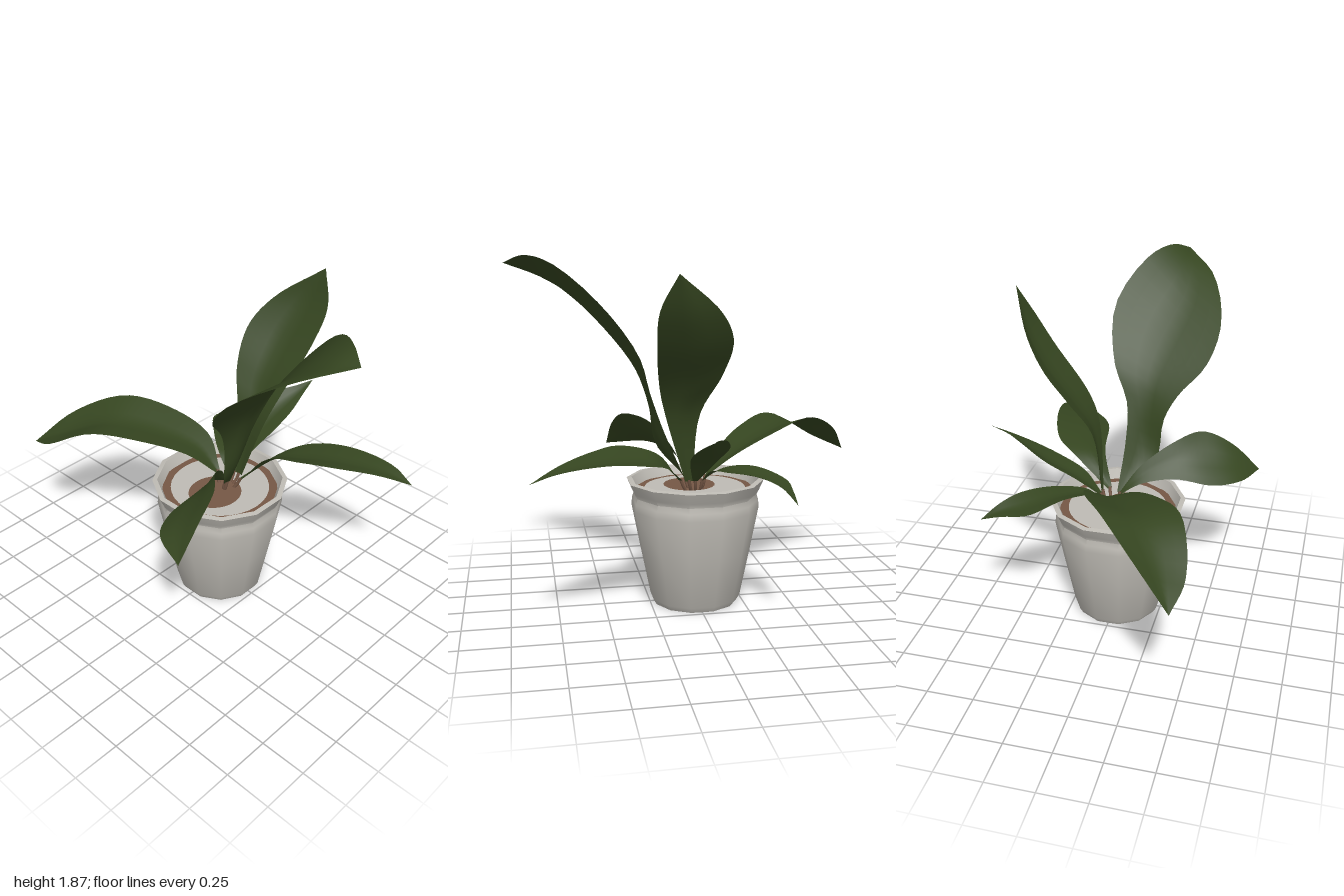
import * as THREE from 'three';
import { toCreasedNormals } from 'three/addons/utils/BufferGeometryUtils.js';

const leafGreen = new THREE.MeshStandardMaterial({ name: 'leaf green', color: 0x354520, side: THREE.DoubleSide });
const potWhite = new THREE.MeshStandardMaterial({ name: 'pot off-white', color: 0xbebbb4 });
const soilBrown = new THREE.MeshStandardMaterial({ name: 'soil brown', color: 0x755745 });

function addMesh(parent, name, geometry, material) {
  const mesh = new THREE.Mesh(geometry, material);
  mesh.name = name;
  parent.add(mesh);
  return mesh;
}

const curve = (pts) => new THREE.CatmullRomCurve3(pts.map((p) => new THREE.Vector3(...p)));

// A leaf blade spans two edge curves, with a shallow fold along the midrib.
function leafGeometry(left, right, fold) {
  const a = curve(left), b = curve([...right, left[left.length - 1]]);
  const rows = 24, cols = 6, pos = [], index = [];
  const mid = (t) => a.getPoint(t).add(b.getPoint(t)).multiplyScalar(0.5);
  for (let i = 0; i <= rows; i++) {
    const t = i / rows;
    const l = a.getPoint(t), r = b.getPoint(t);
    const along = mid(Math.min(1, t + 0.02)).sub(mid(Math.max(0, t - 0.02)));
    const across = r.clone().sub(l);
    const width = across.length();
    const up = across.cross(along).normalize();
    for (let j = 0; j <= cols; j++) {
      const s = j / cols;
      const sink = fold * width * (1 - Math.abs(2 * s - 1));
      const p = l.clone().lerp(r, s).addScaledVector(up, -sink);
      pos.push(p.x, p.y, p.z);
    }
  }
  const n = cols + 1;
  for (let i = 0; i < rows; i++) {
    for (let j = 0; j < cols; j++) {
      const k = i * n + j;
      index.push(k, k + 1, k + n, k + 1, k + n + 1, k + n);
    }
  }
  const g = new THREE.BufferGeometry();
  g.setAttribute('position', new THREE.Float32BufferAttribute(pos, 3));
  g.setIndex(index);
  g.computeVertexNormals();
  return g;
}

export function createModel() {
  const plant = new THREE.Group();
  plant.name = 'pottedPlant';

  // Twelve-sided pot with a thin, slightly flared lip
  const profile = [[0, 0.004], [0.17, 0.004], [0.18, 0], [0.23, 0], [0.247, 0.03], [0.302, 0.3], [0.347, 0.53],
    [0.344, 0.57], [0.335, 0.6], [0.348, 0.625], [0.372, 0.68], [0.345, 0.685], [0.31, 0.6]];
  const potShape = new THREE.LatheGeometry(profile.map((p) => new THREE.Vector2(...p)), 12, Math.PI / 12);
  addMesh(plant, 'pot', toCreasedNormals(potShape, 0.8), potWhite);

  // Soil with a pale ring lying on it
  const soil = addMesh(plant, 'soil', new THREE.CircleGeometry(0.32, 20), soilBrown);
  soil.rotation.x = -Math.PI / 2;
  soil.position.y = 0.63;
  const ring = new THREE.Shape().absarc(0, 0, 0.272, 0, Math.PI * 2);
  ring.holes.push(new THREE.Path().absellipse(0.02, -0.06, 0.14, 0.15, 0, Math.PI * 2, true));
  const pale = addMesh(plant, 'paleRing', new THREE.ShapeGeometry(ring, 16), potWhite);
  pale.rotation.x = -Math.PI / 2;
  pale.position.y = 0.636;

  // Each leaf grows from a short brown stem
  function addLeaf(name, left, right, fold) {
    const leaf = new THREE.Group();
    leaf.name = name;
    addMesh(leaf, 'blade', leafGeometry(left, right, fold), leafGreen);
    const [x, y, z] = left[0].map((v, i) => (v + right[0][i]) / 2);
    const path = curve([[x * 0.6, 0.62, z * 0.7], [x * 0.85, 0.66, z * 0.9], [x, y + 0.01, z]]);
    addMesh(leaf, 'stem', new THREE.TubeGeometry(path, 4, 0.009, 6), soilBrown);
    plant.add(leaf);
  }

  addLeaf('longSideLeaf',
    [[-0.05, 0.69, -0.02], [-0.15, 0.82, 0.1], [-0.32, 0.915, 0.28], [-0.53, 0.95, 0.45], [-0.82, 0.79, 0.53], [-1, 0.71, 0.49]],
    [[-0.05, 0.7, -0.05], [-0.2, 0.83, -0.12], [-0.43, 0.93, -0.06], [-0.66, 0.98, 0.08], [-0.87, 0.88, 0.29]], 0.12);

  addLeaf('frontLeaf',
    [[0.05, 0.7, 0], [0.11, 0.84, 0.1], [0.22, 0.96, 0.27], [0.34, 0.98, 0.4], [0.39, 0.9, 0.56], [0.41, 0.75, 0.72]],
    [[0.03, 0.69, 0], [0.06, 0.76, 0.12], [0.1, 0.79, 0.3], [0.115, 0.77, 0.5], [0.2, 0.77, 0.64]], 0.05);

  addLeaf('broadTallLeaf',
    [[0.06, 0.69, -0.02], [0.17, 0.95, 0], [0.24, 1.15, -0.01], [0.31, 1.36, -0.1], [0.5, 1.62, -0.14], [0.74, 1.83, -0.01],
      [0.88, 1.87, 0.1], [0.98, 1.83, 0.18]],
    [[0.05, 0.69, 0.02], [0.19, 0.85, 0.17], [0.22, 1.08, 0.2], [0.26, 1.22, 0.27], [0.33, 1.37, 0.4], [0.48, 1.55, 0.45],
      [0.76, 1.74, 0.36]], 0.07);

  addLeaf('uprightBackLeaf',
    [[0.03, 0.69, -0.1], [0, 1.05, -0.14], [-0.1, 1.27, -0.24], [-0.13, 1.45, -0.36], [-0.05, 1.6, -0.47], [0.18, 1.79, -0.6]],
    [[0.07, 0.69, -0.1], [0.18, 1.05, -0.15], [0.22, 1.2, -0.22], [0.26, 1.45, -0.42], [0.26, 1.62, -0.53]], 0.1);

  addLeaf('backSideLeaf',
    [[0.08, 0.69, -0.08], [0.2, 0.81, -0.3], [0.3, 0.85, -0.42], [0.5, 0.88, -0.5], [0.75, 0.86, -0.54], [0.89, 0.81, -0.52]],
    [[0.1, 0.69, -0.06], [0.22, 0.85, -0.13], [0.42, 0.91, -0.16], [0.58, 0.9, -0.26], [0.75, 0.865, -0.4]], 0.1);

  addLeaf('narrowBackLeaf',
    [[0, 0.69, -0.1], [-0.08, 0.82, -0.22], [-0.11, 0.92, -0.38], [-0.06, 0.99, -0.53], [0, 1.01, -0.63], [0.04, 1.02, -0.73]],
    [[0.03, 0.69, -0.1], [0.06, 0.8, -0.2], [0.08, 0.87, -0.35], [0.08, 0.93, -0.5], [0.06, 0.98, -0.62]], 0.12);

  addLeaf('smallBackLeaf',
    [[-0.03, 0.69, -0.08], [-0.13, 0.76, -0.12], [-0.27, 0.79, -0.23], [-0.4, 0.75, -0.38], [-0.4, 0.72, -0.53], [-0.39, 0.68, -0.65]],
    [[-0.02, 0.69, -0.1], [-0.05, 0.75, -0.16], [-0.12, 0.78, -0.33], [-0.24, 0.785, -0.48], [-0.33, 0.75, -0.57]], 0.1);

  return plant;
}
